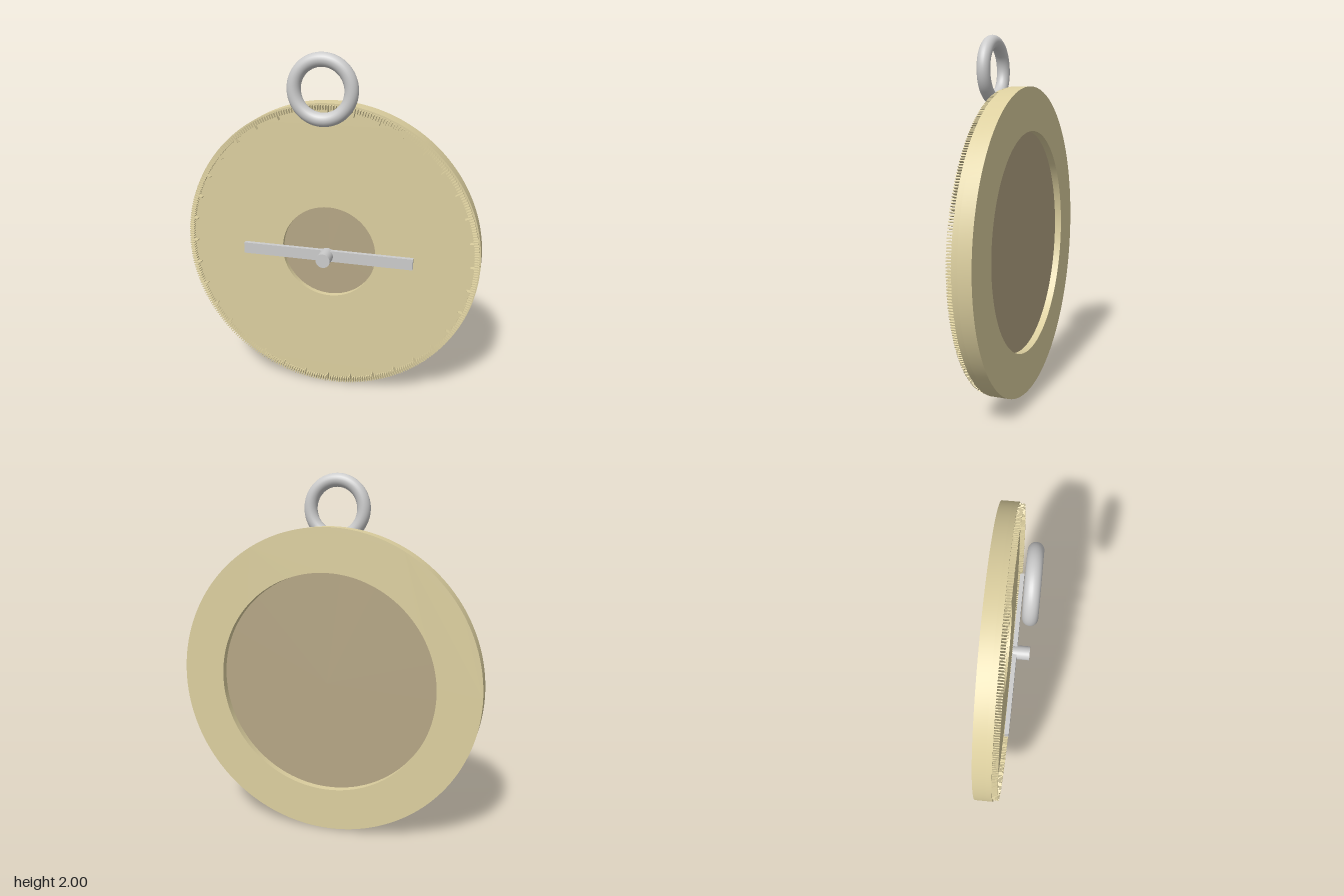
import * as THREE from 'three';
import { mergeGeometries, toCreasedNormals } from 'three/addons/utils/BufferGeometryUtils.js';

const CENTER_Y = 0.86;
const material = (color) => new THREE.MeshStandardMaterial({ color });

// Flat round plate with a concentric hole, from z0 to z1
function ringPlate(outer, inner, z0, z1) {
  const shape = new THREE.Shape().absarc(0, 0, outer, 0, Math.PI * 2);
  shape.holes.push(new THREE.Path().absarc(0, 0, inner, 0, Math.PI * 2, true));
  const geo = new THREE.ExtrudeGeometry(shape, { depth: z1 - z0, bevelEnabled: false, curveSegments: 96 });
  return toCreasedNormals(geo.translate(0, 0, z0), 0.6);
}

// Solid disc or pin lying along z
function rod(radius, z0, z1, sides) {
  return new THREE.CylinderGeometry(radius, radius, z1 - z0, sides)
    .rotateX(Math.PI / 2)
    .translate(0, 0, (z0 + z1) / 2);
}

export function createModel() {
  const group = new THREE.Group();
  const tan = material(0xdccf9f);
  const brown = material(0xb5a685);
  const grey = material(0xcccccc);

  const add = (name, geometry, mat, y = CENTER_Y) => {
    const mesh = new THREE.Mesh(geometry, mat);
    mesh.name = name;
    mesh.position.y = y;
    group.add(mesh);
  };

  // Body: front face with a small opening, back rim with a wide recess
  add('frontPlate', ringPlate(0.86, 0.275, -0.06, -0.03), tan);
  add('backRim', ringPlate(0.86, 0.62, -0.13, -0.06), tan);
  add('innerPlate', rod(0.63, -0.09, -0.06, 96), brown);

  // Degree scale: one raised mark per degree, longer every ten
  const marks = [];
  for (let i = 0; i < 360; i++) {
    const length = i % 10 === 0 ? 0.045 : 0.025;
    marks.push(new THREE.BoxGeometry(length, 0.006, 0.03)
      .translate(0.852 - length / 2, 0, -0.015)
      .rotateZ(THREE.MathUtils.degToRad(i)));
  }
  add('degreeMarks', mergeGeometries(marks), tan);

  // Pointer bar turning on its pin
  add('pointer', new THREE.BoxGeometry(0.99, 0.065, 0.025).translate(0, 0, 0.0125), grey);
  add('pivotPin', rod(0.041, 0, 0.1, 32), grey);

  // Hanging ring
  add('hangingRing', new THREE.TorusGeometry(0.153, 0.037, 24, 72).translate(0, 0, 0.093), grey, 1.81);

  return group;
}
